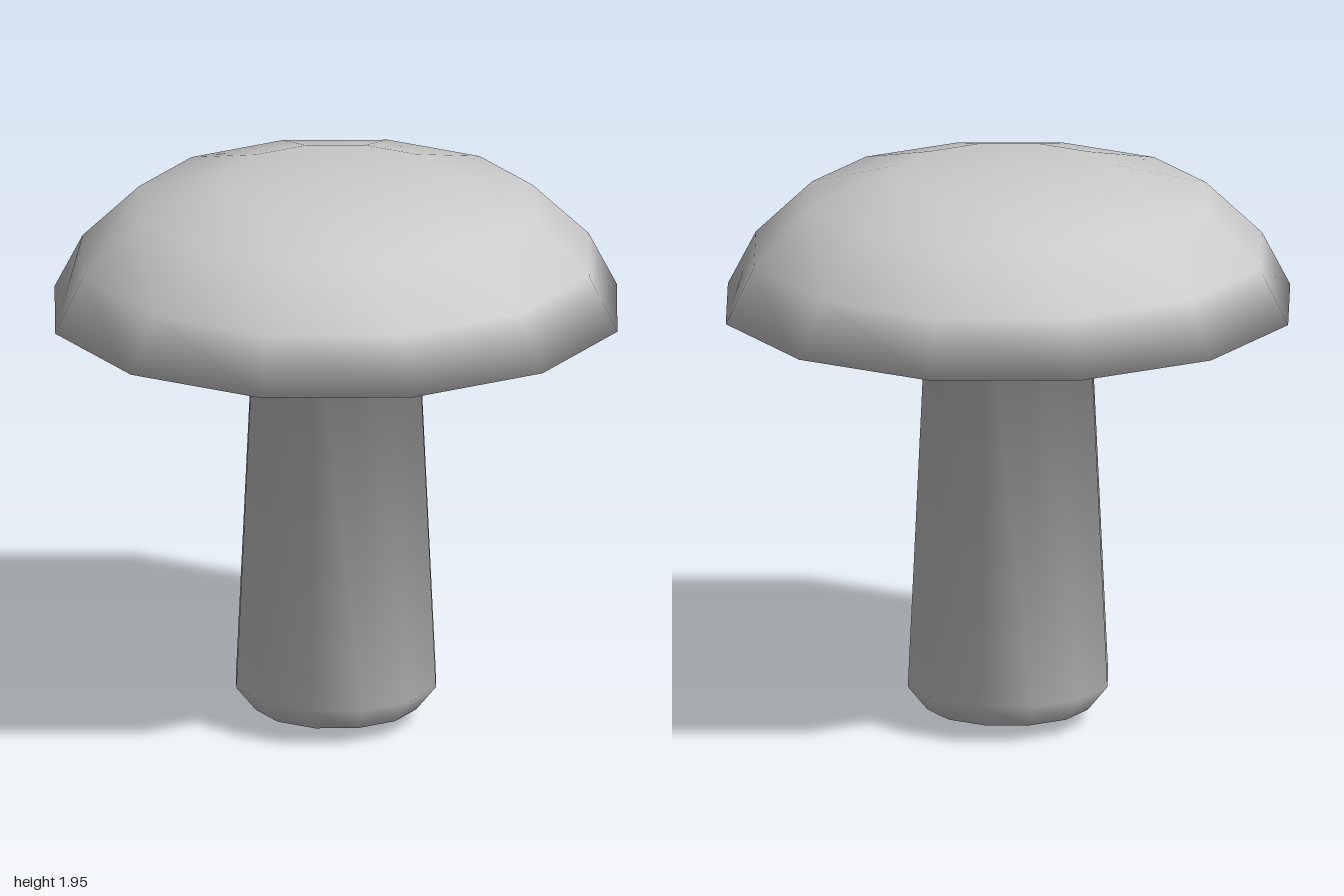
import * as THREE from 'three';

const SIDES = 12;

// [radius, height] from the tip of the foot, up the stem, out under the cap and over its dome
const profile = [
  [0, 0], [0.285, 0.055], [0.355, 0.14], [0.285, 1.58],
  [1, 1.46], [0.9, 1.65], [0.7, 1.84], [0.39, 1.92], [0, 1.95],
].map(([r, y]) => new THREE.Vector2(r, y));
const RIM_START = 3; // where the stem meets the underside of the cap

// Evenly averaged normals, so shading flows over the stem joint and the rim
const edgeNormals = profile.slice(1).map((p, i) => {
  const d = p.clone().sub(profile[i]).normalize();
  return new THREE.Vector2(d.y, -d.x);
});
const normals = profile.map((p, i) => {
  if (i === 0) return new THREE.Vector2(0, -1);
  if (i === profile.length - 1) return new THREE.Vector2(0, 1);
  return edgeNormals[i - 1].clone().add(edgeNormals[i]).normalize();
});

// Turn one stretch of the profile into a smooth twelve-sided surface
function turned(name, from, to, material) {
  const points = profile.slice(from, to + 1);
  const geometry = new THREE.LatheGeometry(points, SIDES);
  const normal = geometry.attributes.normal;
  for (let i = 0; i <= SIDES; i++) {
    const a = (i / SIDES) * Math.PI * 2;
    points.forEach((p, j) => {
      const n = normals[from + j];
      normal.setXYZ(i * points.length + j, n.x * Math.sin(a), n.y, n.x * Math.cos(a));
    });
  }
  geometry.scale(0.985, 1, 1); // slightly narrower across than deep
  const mesh = new THREE.Mesh(geometry, material);
  mesh.name = name;
  return mesh;
}

export function createModel() {
  const group = new THREE.Group();
  group.name = 'mushroom';
  const material = new THREE.MeshStandardMaterial({ color: 0xcccccc, side: THREE.DoubleSide });
  group.add(
    turned('stem', 0, RIM_START, material),
    turned('cap', RIM_START, profile.length - 1, material),
  );
  return group;
}
